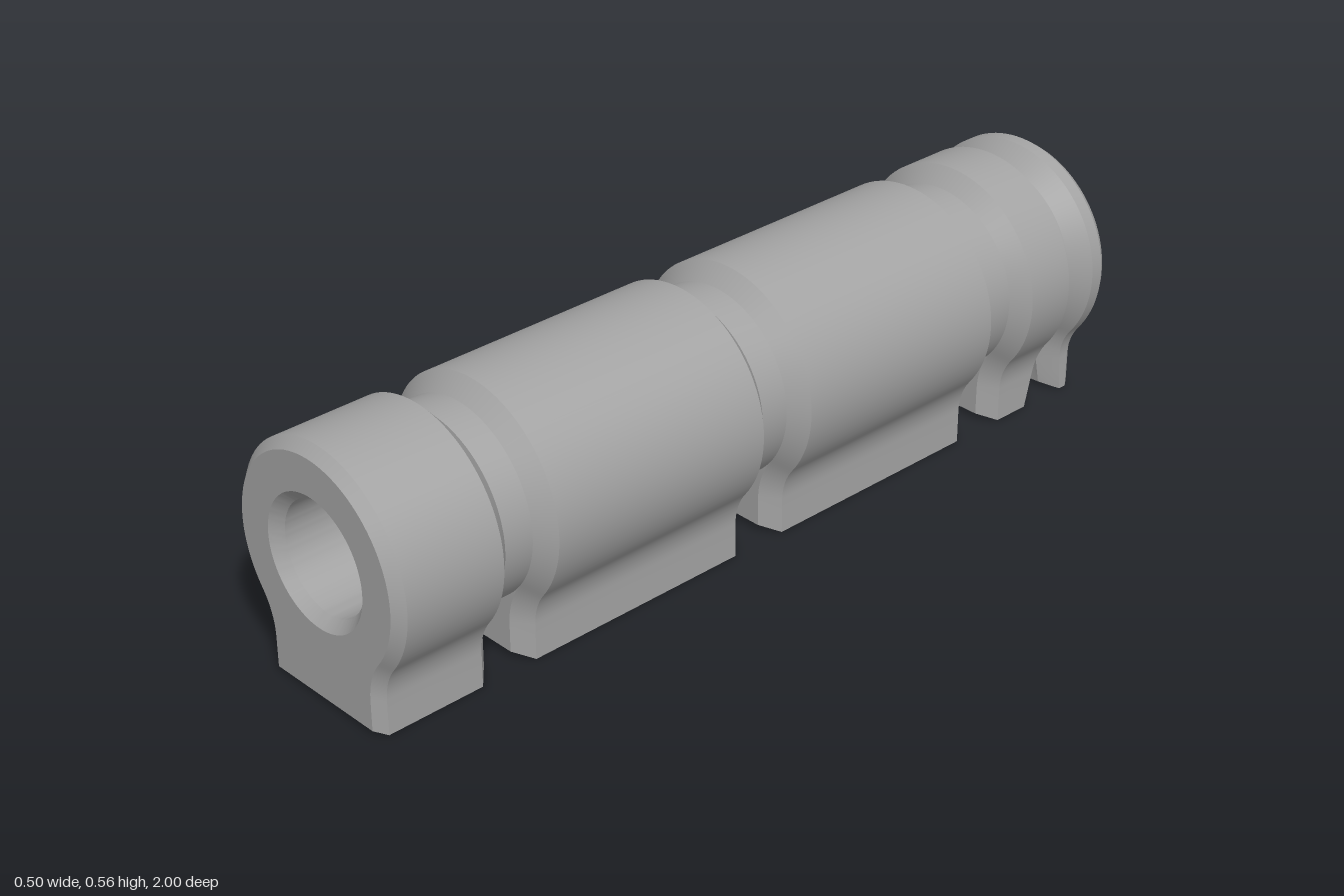
import * as THREE from 'three';
import { toCreasedNormals } from 'three/addons/utils/BufferGeometryUtils.js';

const CY = 0.315; // height of the bore axis

// Keyhole outline, inset by d, counter-clockwise seen from the front
function outline(d) {
  const half = 0.17 - d, base = d * 0.4, R = 0.25 - d, rf = 0.135 + d;
  const pts = [], right = [];
  const end = Math.atan2(0.235, 0.135 + 0.17); // fillet sweep up to the barrel
  right.push([half, base], [half, 0.04]);
  for (let i = 0; i <= 8; i++) {
    const t = (end * i) / 8;
    right.push([0.305 - rf * Math.cos(t), 0.08 + rf * Math.sin(t)]);
  }
  pts.push(...right);
  const n = 72;
  for (let i = 1; i < n; i++) {
    const t = -end + ((Math.PI + 2 * end) * i) / n;
    pts.push([R * Math.cos(t), CY + R * Math.sin(t)]);
  }
  for (const [x, y] of right.slice().reverse()) pts.push([-x, y]);
  for (let i = 1; i < 12; i++) pts.push([-half + (2 * half * i) / 12, base]);
  return pts;
}

// Cross-section at z; flare shifts the foot along z
function section(z, d = 0, flare = 0) {
  return outline(d).map(([x, y]) => {
    const foot = THREE.MathUtils.clamp((Math.hypot(x, y - CY) - 0.25) / 0.108, 0, 1);
    return [x, y, z + flare * foot];
  });
}

// Round cross-section of radius r, aligned with the outline points
function ring(z, r) {
  return outline(0.0375).map(([x, y]) => {
    const k = r / Math.hypot(x, y - CY);
    return [x * k, CY + (y - CY) * k, z];
  });
}

// Skin consecutive cross-sections, skipping collapsed faces
function loft(sections) {
  const pos = [];
  const v = (p) => new THREE.Vector3(...p);
  const tri = (a, b, c) => {
    const area = v(b).sub(v(a)).cross(v(c).sub(v(a))).length();
    if (area > 1e-8) pos.push(...a, ...b, ...c);
  };
  for (let s = 0; s < sections.length - 1; s++) {
    const A = sections[s], B = sections[s + 1];
    for (let i = 0; i < A.length; i++) {
      const j = (i + 1) % A.length;
      tri(A[i], B[i], A[j]);
      tri(A[j], B[i], B[j]);
    }
  }
  const geo = new THREE.BufferGeometry();
  geo.setAttribute('position', new THREE.Float32BufferAttribute(pos, 3));
  return toCreasedNormals(geo, 0.4);
}

export function createModel() {
  const model = new THREE.Group();
  model.name = 'groovedBarrel';
  const metal = new THREE.MeshStandardMaterial({ color: 0xa3a3a3 });
  metal.name = 'grey metal';
  const add = (name, sections) => {
    const mesh = new THREE.Mesh(loft(sections), metal);
    mesh.name = name;
    model.add(mesh);
  };

  const D = 0.0375, RG = 0.2125;
  // Front face and its chamfer
  const body = [ring(1, 0.145), section(1, 0.022), section(0.978)];
  // Three round grooves with chamfered shoulders
  for (const z of [0.68, 0, -0.685]) {
    body.push(
      section(z + 0.068), section(z + 0.034, D), ring(z + 0.034, RG),
      ring(z - 0.034, RG), section(z - 0.034, D), section(z - 0.068));
  }
  // Narrow V groove, opening into a notch between the rear feet
  body.push(
    section(-0.875, 0, 0.032), section(-0.912, D, 0.03), ring(-0.914, RG),
    section(-0.916, D, -0.025), section(-0.955, 0, -0.01));
  // Rear face
  body.push(section(-0.985), section(-1, 0.01), ring(-1, 0.145));
  add('barrelWithFeet', body);

  // Through bore, countersunk at both ends
  add('bore', [ring(-1, 0.145), ring(-0.977, 0.1225), ring(0.977, 0.1225), ring(1, 0.145)]);
  return model;
}
